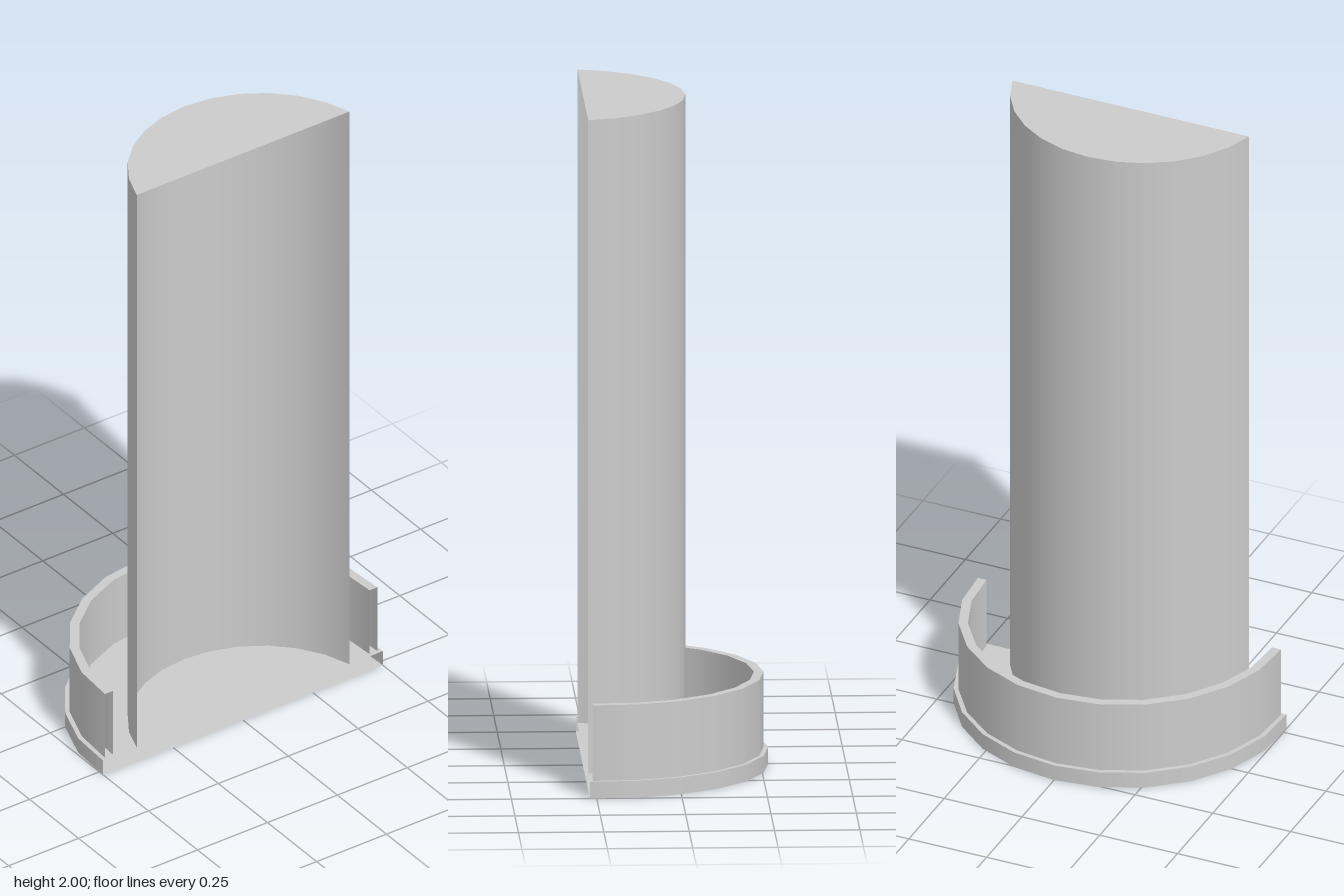
import * as THREE from 'three';

const SEGMENTS = 12;
const material = new THREE.MeshStandardMaterial({ color: 0xcccccc, side: THREE.DoubleSide });

// An arc about (0, cz) in plan, bulging to the back and ending at z = front
const makeArc = (r, cz, front) => ({ r, cz, half: Math.PI / 2 + Math.asin((front - cz) / r) });

function add(group, name, geometry) {
  const mesh = new THREE.Mesh(geometry, material);
  mesh.name = name;
  group.add(mesh);
}

// Thin upright wall along an arc, open at the front
function wall({ r, cz, half }, y0, y1) {
  return new THREE.CylinderGeometry(r, r, y1 - y0, SEGMENTS, 1, true, Math.PI - half, 2 * half)
    .translate(0, (y0 + y1) / 2, cz);
}

// Plan points of an arc, with plan y pointing to the back
function planPoints({ r, cz, half }) {
  return Array.from({ length: SEGMENTS + 1 }, (_, i) => {
    const a = half - (2 * half * i) / SEGMENTS;
    return new THREE.Vector2(r * Math.sin(a), r * Math.cos(a) - cz);
  });
}

// Flat sheet at height y, facing up or down
function sheet(points, y, down = false) {
  const geometry = new THREE.ShapeGeometry(new THREE.Shape(points)).rotateX(-Math.PI / 2);
  if (down) geometry.scale(1, -1, 1).rotateZ(Math.PI).rotateZ(Math.PI);
  return geometry.translate(0, y, 0);
}

export function createModel() {
  const model = new THREE.Group();
  model.name = 'halfColumn';

  const base = makeArc(0.502, 0.229, 0.27);
  const ringOuter = makeArc(0.488, 0.229, 0.26);
  const ringInner = makeArc(0.46, 0.229, 0.26);
  const column = makeArc(0.391, 0.361, 0.27);

  // Base plate: hollow half disc
  add(model, 'baseRim', wall(base, 0, 0.05));
  add(model, 'baseTop', sheet(planPoints(base), 0.05));
  add(model, 'baseBottom', sheet(planPoints(base), 0, true));

  // Raised collar: two walls joined by a top edge
  add(model, 'collarOuterWall', wall(ringOuter, 0.05, 0.275));
  add(model, 'collarInnerWall', wall(ringInner, 0.05, 0.275));
  add(model, 'collarTop', sheet([...planPoints(ringOuter), ...planPoints(ringInner).reverse()], 0.275));

  // Tall column shell, open at the front, with a lid
  add(model, 'columnShell', wall(column, 0.05, 2));
  add(model, 'columnLid', sheet(planPoints(column), 2));

  return model;
}
